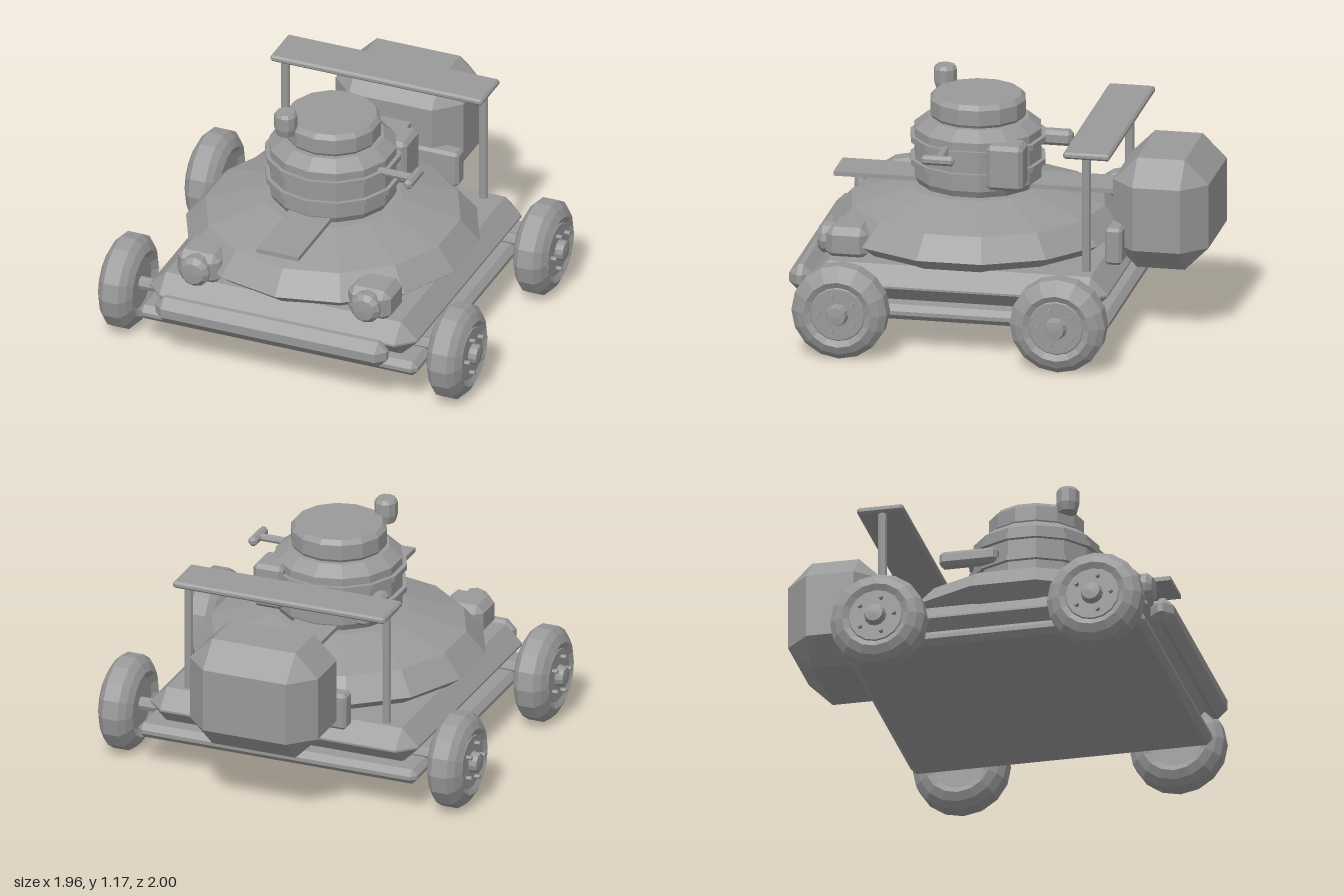
import * as THREE from 'three';
import { ConvexGeometry } from 'three/addons/geometries/ConvexGeometry.js';

export function createModel() {
  const model = new THREE.Group();
  const grey = new THREE.MeshStandardMaterial({ color: 0x999999, flatShading: true });
  grey.name = 'grey';

  const add = (name, geometry, x, y, z, parent = model) => {
    const mesh = new THREE.Mesh(geometry, grey);
    mesh.name = name;
    mesh.position.set(x, y, z);
    parent.add(mesh);
    return mesh;
  };

  // Box with every edge and corner cut, given by its bounds
  const chamferBox = (name, [x0, x1], [y0, y1], [z0, z1], c) => {
    const h = [(x1 - x0) / 2, (y1 - y0) / 2, (z1 - z0) / 2];
    const points = [];
    for (const sx of [-1, 1]) for (const sy of [-1, 1]) for (const sz of [-1, 1]) {
      for (let full = 0; full < 3; full++) {
        const [px, py, pz] = h.map((v, i) => (i === full ? v : v - c));
        points.push(new THREE.Vector3(sx * px, sy * py, sz * pz));
      }
    }
    return add(name, new ConvexGeometry(points), (x0 + x1) / 2, (y0 + y1) / 2, (z0 + z1) / 2);
  };

  // Turned part from [radius, height] pairs, bottom to top
  const turned = (profile, sides = 14) =>
    new THREE.LatheGeometry(profile.map(([r, y]) => new THREE.Vector2(r, y)), sides);

  // Chassis
  chamferBox('basePlate', [-0.73, 0.73], [0.155, 0.23], [-0.61, 0.885], 0.028);
  chamferBox('deck', [-0.7, 0.7], [0.22, 0.4], [-0.585, 0.88], 0.085);
  chamferBox('bumper', [-0.605, 0.605], [0.22, 0.355], [0.88, 0.995], 0.045);

  // Domed body
  add('dome', turned([[0, 0.33], [0.56, 0.33], [0.72, 0.455], [0.625, 0.565], [0.34, 0.655], [0, 0.66]]), 0, 0, 0.18);
  add('topStrip', new THREE.BoxGeometry(0.22, 0.022, 1.42), 0, 0.674, 0.16);

  // Turret with two raised bands, and the hatch on top
  add('turret', turned([[0, 0.65], [0.29, 0.65], [0.312, 0.69], [0.312, 0.935], [0.25, 0.985], [0, 0.985]]), 0, 0, 0.18);
  for (const y of [0.768, 0.882]) {
    add('turretBand', turned([[0.3, -0.014], [0.333, -0.014], [0.333, 0.014], [0.3, 0.014]]), 0, y, 0.18);
  }
  add('hatch', turned([[0, 0.97], [0.215, 0.97], [0.235, 1.0], [0.235, 1.075], [0.215, 1.098], [0, 1.098]]), 0, 0, 0.18);
  add('periscope', turned([[0, 1.05], [0.045, 1.05], [0.057, 1.09], [0.057, 1.155], [0.045, 1.172], [0, 1.172]], 10), -0.165, 0, 0.375);

  // Turret fittings
  chamferBox('turretBox', [0.18, 0.335], [0.71, 0.935], [-0.105, 0.075], 0.02);
  chamferBox('sidePod', [-0.32, -0.245], [0.765, 0.84], [-0.23, 0.06], 0.018);
  add('sideArm', new THREE.CylinderGeometry(0.02, 0.02, 0.2, 8), 0.36, 0.893, 0.28).rotation.z = Math.PI / 2;
  chamferBox('armHead', [0.443, 0.487], [0.87, 0.916], [0.2, 0.365], 0.014);

  // Headlights
  for (const side of [-1, 1]) {
    const x = side * 0.447;
    chamferBox('headlightBody', [x - 0.113, x + 0.113], [0.385, 0.545], [0.615, 0.82], 0.035);
    const lens = add('headlightLens', turned([[0.075, -0.06], [0.078, 0.04], [0.055, 0.065], [0, 0.07]], 12), x, 0.465, 0.805);
    lens.rotation.x = Math.PI / 2;
  }

  // Rear frame
  for (const side of [-1, 1]) {
    add('framePost', new THREE.CylinderGeometry(0.023, 0.023, 0.62, 8), side * 0.518, 0.67, -0.46);
  }
  chamferBox('frameBar', [-0.555, 0.555], [0.97, 1.003], [-0.58, -0.35], 0.01);

  // Rear tank and its mount
  chamferBox('tank', [-0.335, 0.335], [0.335, 0.89], [-1, -0.53], 0.118);
  chamferBox('tankMount', [-0.36, 0.36], [0.38, 0.565], [-0.6, -0.515], 0.015);

  // Wheels, with hubs and bolts facing outward
  const tyre = turned([[0, -0.065], [0.13, -0.065], [0.165, -0.09], [0.205, -0.07], [0.235, -0.04],
    [0.235, 0.04], [0.205, 0.07], [0.165, 0.09], [0.135, 0.075], [0.13, 0.08], [0, 0.08]], 16);
  const hub = turned([[0.06, 0.07], [0.05, 0.09], [0.05, 0.105], [0.045, 0.118], [0, 0.122]], 12);
  const bolt = new THREE.CylinderGeometry(0.011, 0.011, 0.04, 6);
  for (const z of [0.68, -0.395]) {
    add('axle', new THREE.CylinderGeometry(0.033, 0.033, 1.62, 8), 0, 0.238, z).rotation.z = Math.PI / 2;
    for (const side of [-1, 1]) {
      const wheel = new THREE.Group();
      wheel.name = 'wheel';
      wheel.position.set(side * 0.86, 0.236, z);
      wheel.rotation.z = -side * Math.PI / 2;
      add('tyre', tyre, 0, 0, 0, wheel);
      add('hub', hub, 0, 0, 0, wheel);
      for (let i = 0; i < 5; i++) {
        const a = (i / 5) * Math.PI * 2;
        // One bolt points straight back or forward of the hub
        add('bolt', bolt, Math.sin(a) * 0.093, 0.088, Math.cos(a) * 0.093, wheel);
      }
      model.add(wheel);
    }
  }
  return model;
}
